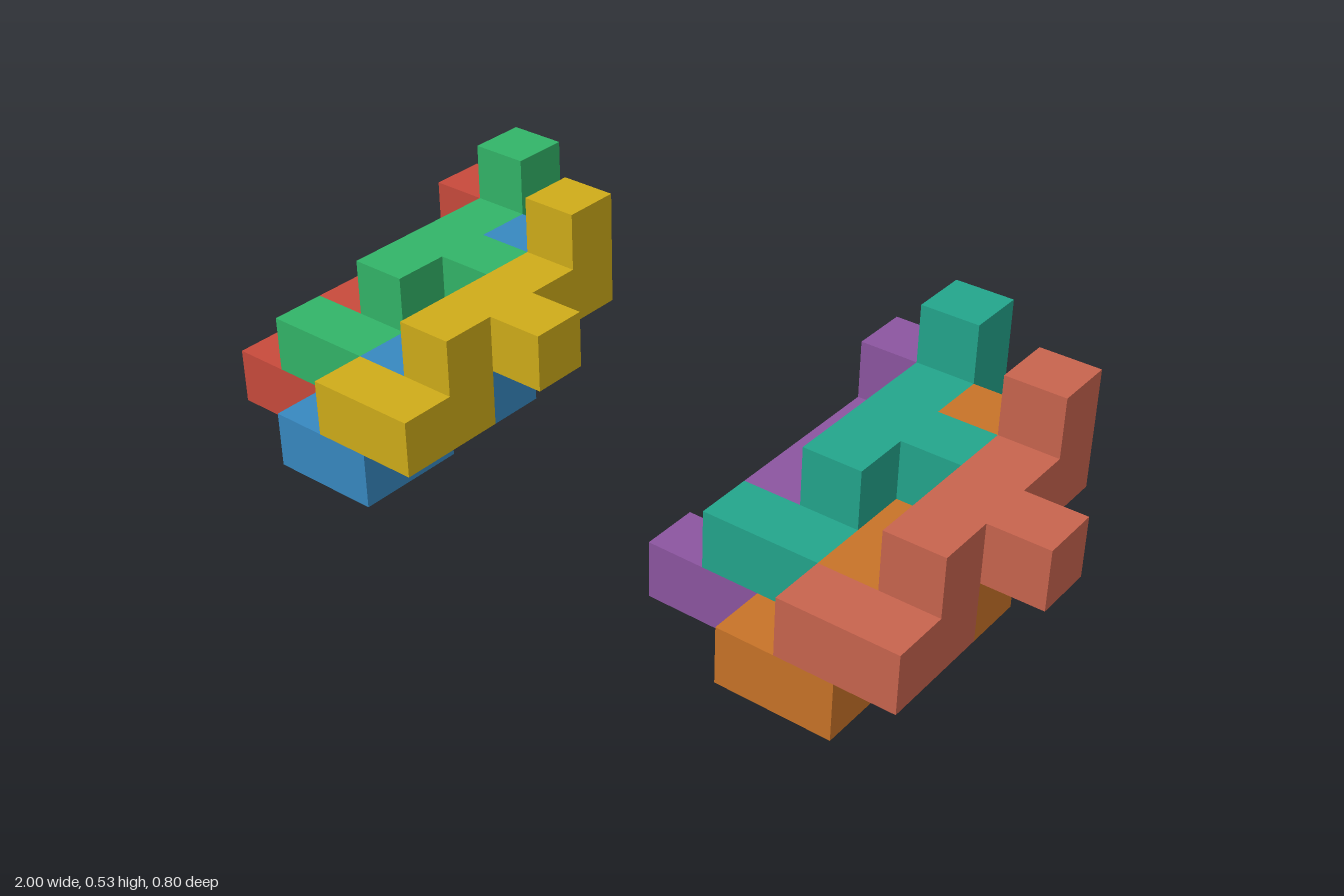
import * as THREE from 'three';
import { mergeGeometries, mergeVertices } from 'three/addons/utils/BufferGeometryUtils.js';

const U = 2 / 15; // edge of one cube

// Cubes of one puzzle piece: a stepped bar with two side knobs
const CELLS = [
  [0, 0, 4], [1, 0, 4], [1, 0, 3], [1, 1, 3], [1, 1, 2],
  [2, 1, 2], [1, 1, 1], [1, 1, 0], [1, 2, 0],
];

// Shift of each piece inside a cluster, in cubes
const OFFSETS = [[0, 0, 0], [2, 0, 1], [1, 1, 0], [3, 1, 1]];

const CLUSTERS = [
  { name: 'rightCluster', x: 0, pieces: [['red', 0xc84a3c], ['blue', 0x3788c0], ['green', 0x32b468], ['yellow', 0xcfac19]] },
  { name: 'leftCluster', x: 9, pieces: [['purple', 0x8c55a0], ['orange', 0xc87328], ['teal', 0x23a58c], ['salmon', 0xc8644e]] },
];

const DIRECTIONS = [[1, 0, 0], [-1, 0, 0], [0, 1, 0], [0, -1, 0], [0, 0, 1], [0, 0, -1]];

// Skin of the piece: one square wherever a cube has no neighbour
function pieceGeometry() {
  const filled = new Set(CELLS.map(String));
  const front = new THREE.Vector3(0, 0, 1);
  const faces = [];
  for (const cell of CELLS) {
    for (const d of DIRECTIONS) {
      if (filled.has(String(cell.map((c, i) => c + d[i])))) continue;
      const turn = new THREE.Quaternion().setFromUnitVectors(front, new THREE.Vector3(...d));
      const face = new THREE.PlaneGeometry(U, U).applyQuaternion(turn);
      face.translate(...cell.map((c, i) => (c + 0.5 + d[i] / 2) * U));
      faces.push(face);
    }
  }
  return mergeVertices(mergeGeometries(faces));
}

export function createModel() {
  const model = new THREE.Group();
  model.name = 'interlockingCubePieces';
  const geometry = pieceGeometry();

  // Two matching clusters of four interlocking pieces
  for (const { name, x, pieces } of CLUSTERS) {
    const cluster = new THREE.Group();
    cluster.name = name;
    cluster.position.set(-1 + x * U, 0, -3 * U);
    pieces.forEach(([colorName, color], i) => {
      const piece = new THREE.Mesh(geometry, new THREE.MeshStandardMaterial({ color }));
      piece.name = `${colorName}Piece`;
      piece.position.set(...OFFSETS[i]).multiplyScalar(U);
      cluster.add(piece);
    });
    model.add(cluster);
  }
  return model;
}
